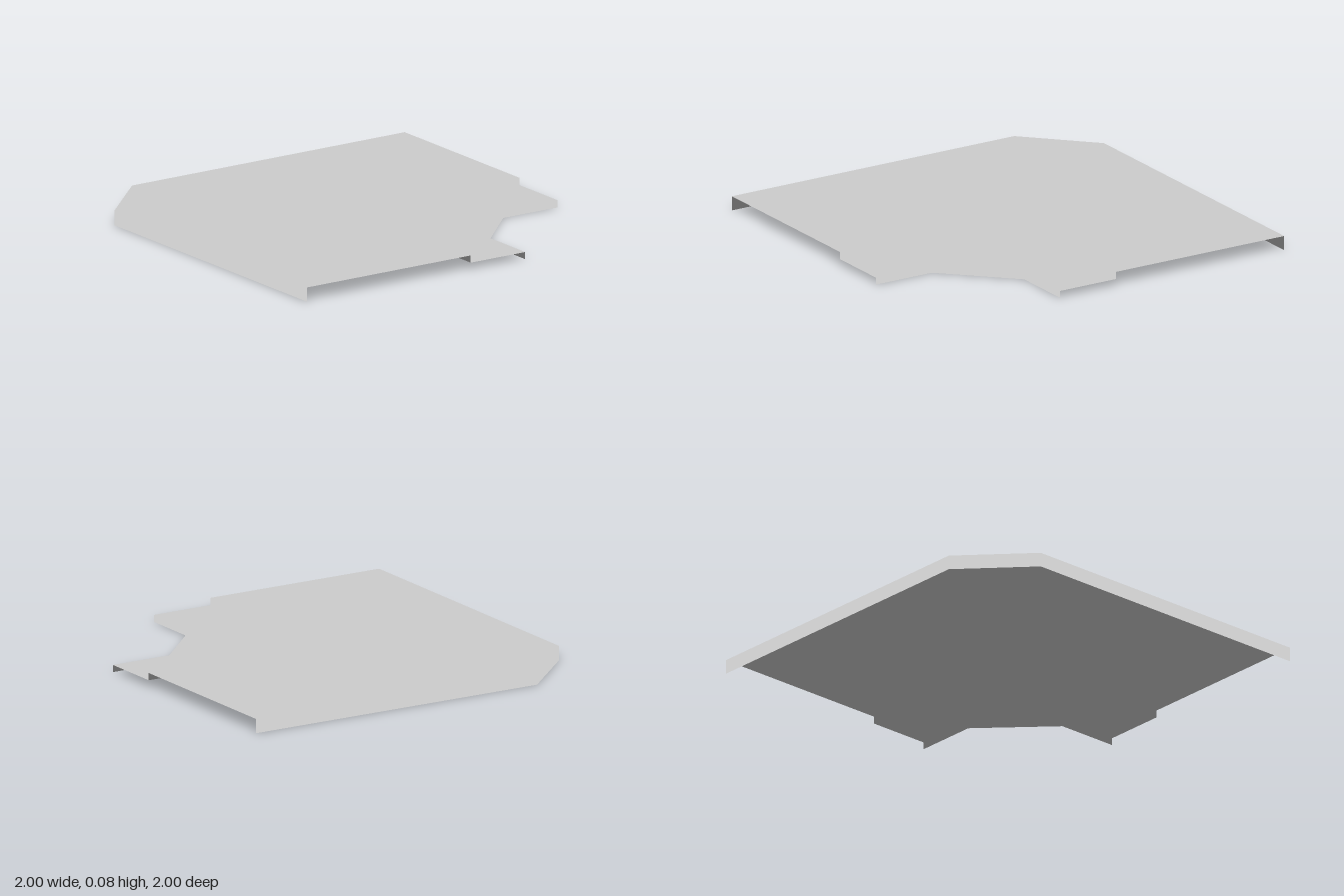
import * as THREE from 'three';

const TOP = 0.075, LEDGE = 0.037;

// Plan outlines as [x, z]
const outer = [[-1, 1], [-1, -0.68], [-0.667, -1], [1, -1]];
const step = [[1, 0], [0.333, 0], [0, 0.333], [0, 1]];
const inner = [[1, 0.333], [0.667, 0.333], [0.333, 0.667], [0.333, 1]];

// Open sheet whose normals all point up, so the folds shade softly
function sheet(name, points, index, material) {
  const geometry = new THREE.BufferGeometry();
  geometry.setAttribute('position', new THREE.Float32BufferAttribute(points.flat(), 3));
  geometry.setAttribute('normal', new THREE.Float32BufferAttribute(points.flatMap(() => [0, 1, 0]), 3));
  geometry.setIndex(index);
  const mesh = new THREE.Mesh(geometry, material);
  mesh.name = name;
  return mesh;
}

// Flat plate filling an outline at height y, facing up
function plate(name, outline, y, material) {
  const contour = outline.map(([x, z]) => new THREE.Vector2(x, z));
  const index = THREE.ShapeUtils.triangulateShape(contour, []).flatMap(([a, b, c]) => [a, c, b]);
  return sheet(name, outline.map(([x, z]) => [x, y, z]), index, material);
}

// Upright ribbon following an open path between two heights, facing outwards
function wall(name, path, low, high, material) {
  const points = path.flatMap(([x, z]) => [[x, low, z], [x, high, z]]);
  const index = [];
  for (let a = 0; a < points.length - 2; a += 2) {
    index.push(a, a + 1, a + 2, a + 1, a + 3, a + 2);
  }
  return sheet(name, points, index, material);
}

export function createModel() {
  const model = new THREE.Group();
  model.name = 'cornerSlab';
  const grey = new THREE.MeshStandardMaterial({ color: 0xcccccc, side: THREE.DoubleSide });
  grey.name = 'grey';

  model.add(
    // Upper deck and the lower ledge round the inside corner
    plate('upperDeck', [...outer, ...step], TOP, grey),
    plate('lowerLedge', [...step, ...[...inner].reverse()], LEDGE, grey),
    // Skirts and riser; the two ends stay open
    wall('outerSkirt', outer, 0, TOP, grey),
    wall('stepRiser', step, LEDGE, TOP, grey),
    wall('innerSkirt', inner, 0, LEDGE, grey),
  );
  return model;
}
